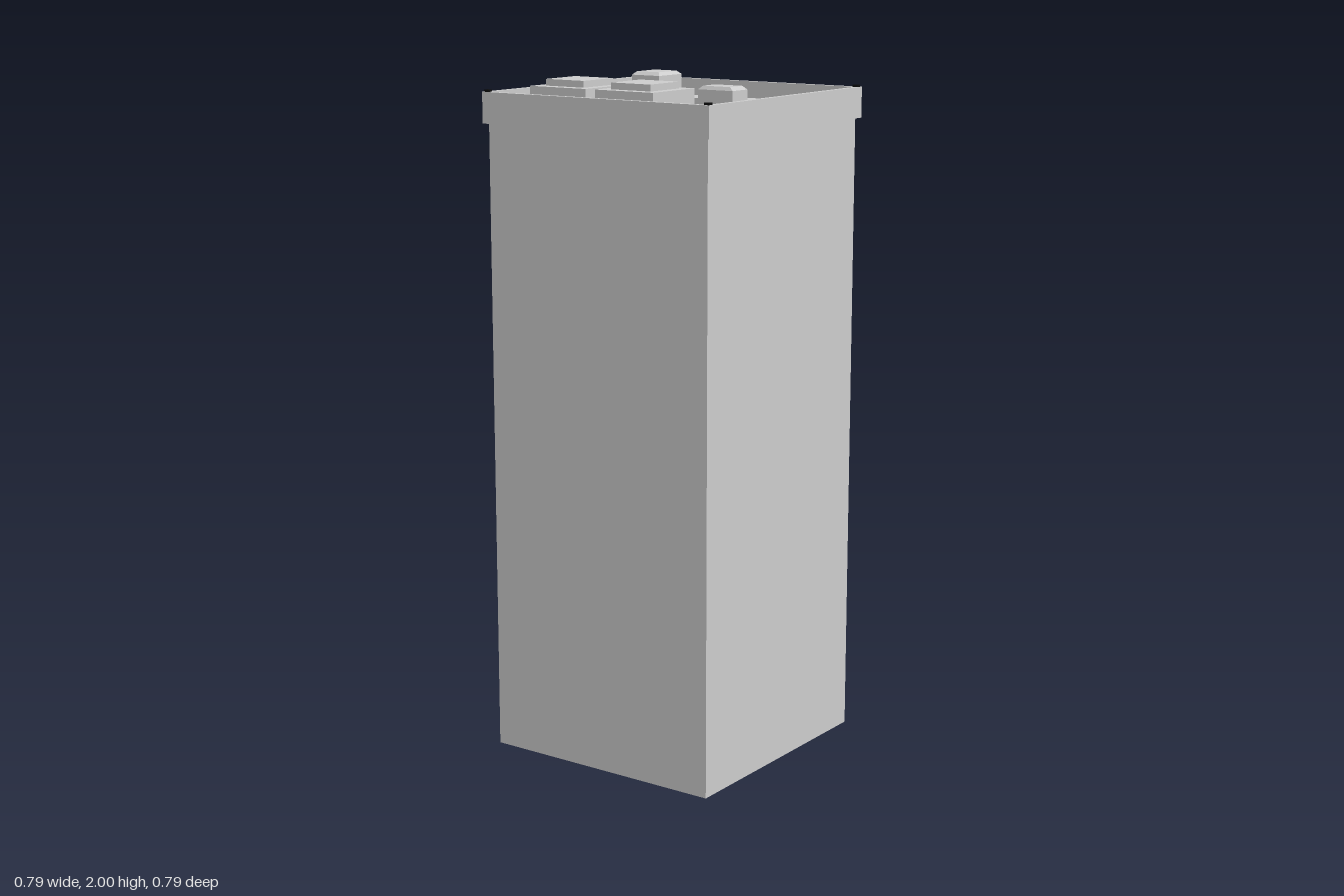
import * as THREE from 'three';

const DECK = 1.91;

export function createModel() {
  const model = new THREE.Group();
  const grey = new THREE.MeshStandardMaterial({ color: 0xcccccc, flatShading: true });
  const black = new THREE.MeshStandardMaterial({ color: 0x0a0a0a });

  function add(name, geometry, parent = model, material = grey) {
    const mesh = new THREE.Mesh(geometry, material);
    mesh.name = name;
    parent.add(mesh);
    return mesh;
  }

  // Box given by its limits on each axis
  function box(name, [x0, x1], [y0, y1], [z0, z1], parent, material) {
    const mesh = add(name, new THREE.BoxGeometry(x1 - x0, y1 - y0, z1 - z0), parent, material);
    mesh.position.set((x0 + x1) / 2, (y0 + y1) / 2, (z0 + z1) / 2);
    return mesh;
  }

  // Plain tower shaft, closed by the sunken roof deck
  box('tower', [-0.38, 0.38], [0, DECK], [-0.38, 0.38]);

  // Parapet ring around the roof
  const square = (Path, r) => new Path([
    new THREE.Vector2(-r, -r), new THREE.Vector2(r, -r),
    new THREE.Vector2(r, r), new THREE.Vector2(-r, r),
  ]);
  const ring = square(THREE.Shape, 0.393);
  ring.holes.push(square(THREE.Path, 0.377));
  const parapet = add('parapet', new THREE.ExtrudeGeometry(ring, { depth: 0.09, bevelEnabled: false }));
  parapet.rotation.x = -Math.PI / 2;
  parapet.position.y = 1.875;

  // Raised duct across the deck
  box('roofDuct', [-0.377, 0.377], [DECK, DECK + 0.03], [-0.125, -0.035]);

  // Two large stepped roof units
  for (const x of [-0.188, 0.045]) {
    const unit = new THREE.Group();
    unit.name = 'largeRoofUnit';
    box('unitBase', [x - 0.1, x + 0.1], [DECK, 1.981], [0.106, 0.306], unit);
    box('unitCap', [x - 0.068, x + 0.068], [1.981, 2], [0.137, 0.273], unit);
    model.add(unit);
  }

  // Two small roof units with tapered tops
  function smallUnit([x0, x1], [z0, z1], capX, capZ) {
    const unit = new THREE.Group();
    unit.name = 'smallRoofUnit';
    box('unitBody', [x0, x1], [DECK, 1.985], [z0, z1], unit);
    const cap = box('taperedTop', [x0, x1], [1.985, 1.995], [z0, z1], unit);
    const p = cap.geometry.attributes.position;
    for (let i = 0; i < p.count; i++) {
      if (p.getY(i) > 0) {
        p.setX(i, p.getX(i) * capX);
        p.setZ(i, p.getZ(i) * capZ);
      }
    }
    cap.geometry.computeVertexNormals();
    model.add(unit);
  }
  smallUnit([0.202, 0.318], [0.099, 0.172], 0.78, 0.82);
  smallUnit([-0.28, -0.178], [-0.286, -0.17], 0.8, 0.79);

  // Small beacons on the parapet corners
  for (const x of [-0.381, 0.381]) {
    for (const z of [-0.381, 0.381]) {
      box('cornerBeacon', [x - 0.008, x + 0.008], [1.957, 1.971], [z - 0.008, z + 0.008], model, black);
    }
  }
  return model;
}
